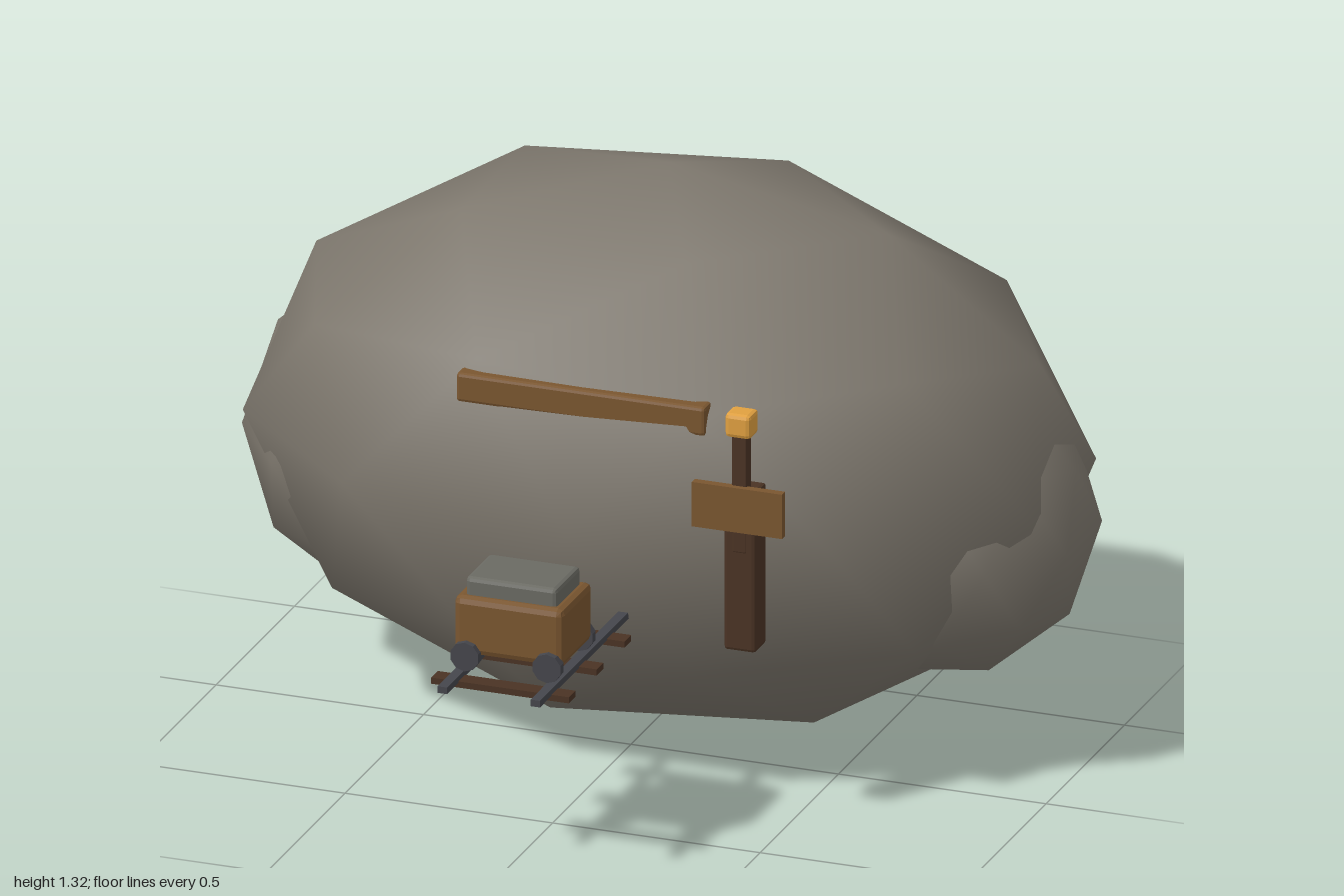
import * as THREE from 'three';
import { RoundedBoxGeometry } from 'three/addons/geometries/RoundedBoxGeometry.js';

const mat = (color, flatShading = true) => new THREE.MeshStandardMaterial({ color, flatShading, roughness: 0.9 });

export function createModel() {
  const root = new THREE.Group();
  root.name = 'mineEntrance';

  const stone = mat(0x7d776d, false);
  const wood = mat(0x7a5630);
  const darkWood = mat(0x4a3324);
  const metal = mat(0x45464c);
  const ore = mat(0x6a6a63);
  const glow = mat(0xe0a040);

  const group = (name) => {
    const g = new THREE.Group();
    g.name = name;
    root.add(g);
    return g;
  };

  const add = (parent, name, geometry, material, x, y, z) => {
    const mesh = new THREE.Mesh(geometry, material);
    mesh.name = name;
    mesh.position.set(x, y, z);
    parent.add(mesh);
    return mesh;
  };

  // Box with chamfered edges
  const block = (w, h, d, bevel = 0.008) => new RoundedBoxGeometry(w, h, d, 1, bevel);

  // Smooth-shaded low-poly boulder standing on one icosahedron corner
  const boulder = (parent, name, rx, ry, rz, x, y, z) => {
    const geo = new THREE.IcosahedronGeometry(1, 1);
    geo.rotateZ(-Math.atan2(1, (1 + Math.sqrt(5)) / 2));
    geo.scale(rx, ry, rz);
    add(parent, name, geo, stone, x, y, z);
  };

  // Rock mound
  const rocks = group('rocks');
  boulder(rocks, 'mainRock', 1.0, 0.662, 0.66, 0, 0.667, -0.245);
  boulder(rocks, 'leftBoulder', 0.36, 0.36, 0.36, 0.66, 0.56, -0.24);
  boulder(rocks, 'rightBoulder', 0.4, 0.4, 0.4, -0.62, 0.58, -0.29);

  // Timber frame, mostly sunk into the rock
  const frame = group('timberFrame');
  add(frame, 'lintel', block(0.6, 0.07, 0.08), wood, 0, 0.955, 0.284);
  for (const s of [-1, 1]) {
    add(frame, 'framePost', block(0.06, 0.48, 0.07), wood, s * 0.265, 0.69, 0.265);
  }

  // Track
  const track = group('track');
  for (const s of [-1, 1]) {
    add(track, 'rail', new THREE.BoxGeometry(0.023, 0.016, 0.6), metal, s * 0.112, 0.468, 0.607);
  }
  for (const z of [0.46, 0.637, 0.814]) {
    add(track, 'sleeper', new THREE.BoxGeometry(0.332, 0.015, 0.042), darkWood, 0, 0.456, z);
  }

  // Ore cart
  const cart = group('oreCart');
  add(cart, 'cartBody', block(0.264, 0.14, 0.196, 0.016), wood, 0, 0.578, 0.688);
  add(cart, 'oreLoad', block(0.22, 0.08, 0.155, 0.01), ore, 0, 0.65, 0.688);
  for (const sx of [-1, 1]) {
    for (const sz of [-1, 1]) {
      const geo = new THREE.CylinderGeometry(0.035, 0.035, 0.022, 10).rotateX(Math.PI / 2);
      add(cart, 'wheel', geo, metal, sx * 0.099, 0.51, 0.688 + sz * 0.102);
    }
  }

  // Signpost with lantern
  const sign = group('signpost');
  add(sign, 'lowerPost', block(0.076, 0.39, 0.076), darkWood, 0.418, 0.645, 0.378);
  add(sign, 'upperPost', block(0.036, 0.3, 0.034, 0.004), darkWood, 0.418, 0.84, 0.4);
  add(sign, 'signBoard', new THREE.BoxGeometry(0.218, 0.108, 0.02), wood, 0.418, 0.8, 0.421);
  add(sign, 'lantern', block(0.062, 0.058, 0.06, 0.01), glow, 0.418, 1.002, 0.4);

  return root;
}
